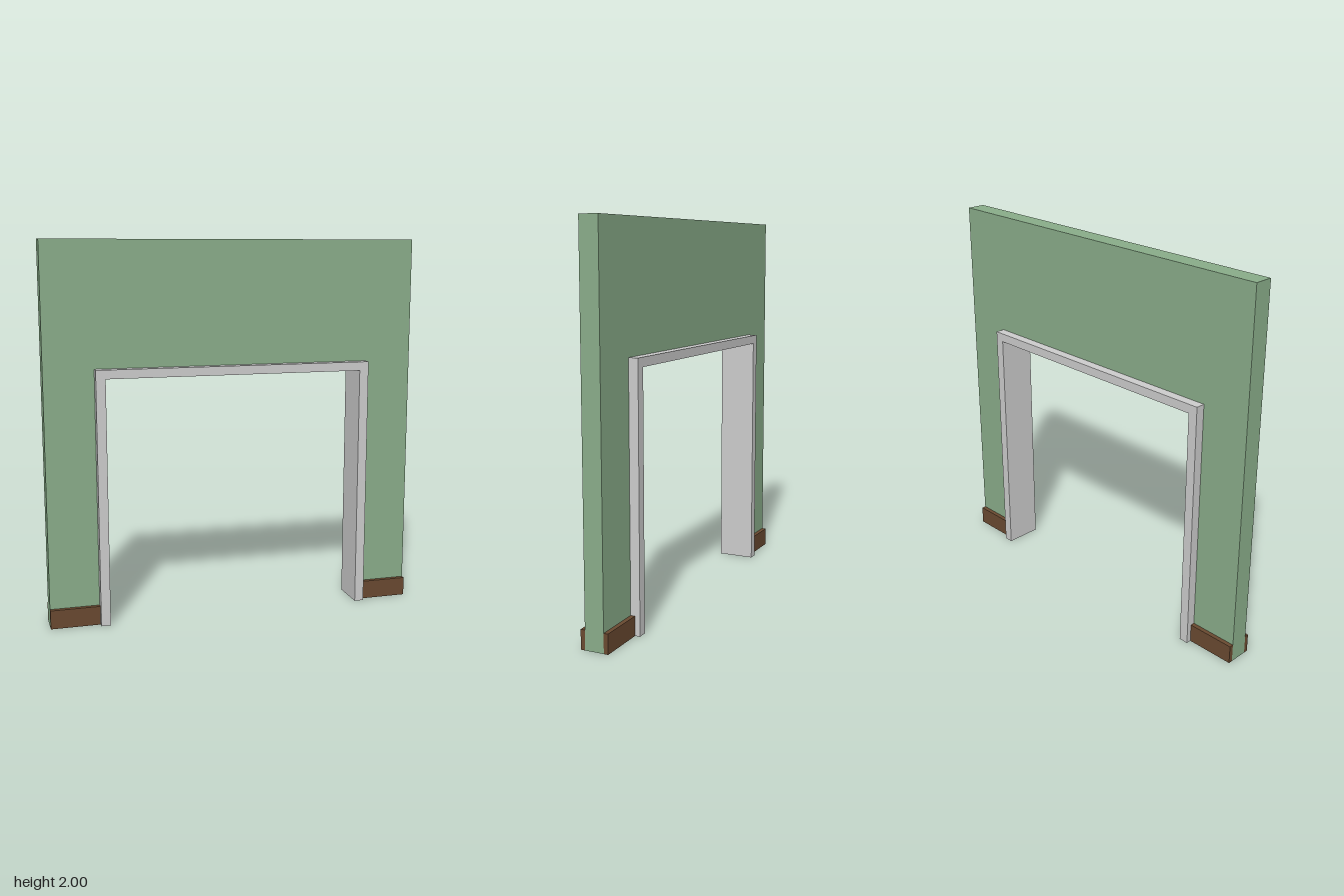
import * as THREE from 'three';

const wallMat = new THREE.MeshStandardMaterial({ color: 0x89ac89 });
const frameMat = new THREE.MeshStandardMaterial({ color: 0xcccccc });
const skirtingMat = new THREE.MeshStandardMaterial({ color: 0x694930 });

const OPEN_X = 0.74, OPEN_Y = 1.35; // opening in the wall
const TRIM = 0.05;                  // face width of the door frame

// Upside-down U, extruded to a depth centred on z = 0
function portal(name, outerX, outerY, innerX, innerY, depth, material) {
  const shape = new THREE.Shape([
    [-outerX, 0], [-innerX, 0], [-innerX, innerY], [innerX, innerY],
    [innerX, 0], [outerX, 0], [outerX, outerY], [-outerX, outerY],
  ].map(([x, y]) => new THREE.Vector2(x, y)));
  const geometry = new THREE.ExtrudeGeometry(shape, { depth, bevelEnabled: false });
  geometry.translate(0, 0, -depth / 2);
  const mesh = new THREE.Mesh(geometry, material);
  mesh.name = name;
  return mesh;
}

export function createModel() {
  const group = new THREE.Group();
  group.name = 'doorwayWall';

  // Wall with doorway, and the frame lining it
  group.add(portal('wall', 1, 2, OPEN_X, OPEN_Y, 0.1, wallMat));
  group.add(portal('doorFrame', OPEN_X, OPEN_Y, OPEN_X - TRIM, OPEN_Y - TRIM + 0.003, 0.2, frameMat));

  // Skirting boards on both faces, either side of the doorway
  const width = 1 - OPEN_X, height = 0.1, thickness = 0.023;
  const board = new THREE.BoxGeometry(width, height, thickness);
  for (const sx of [-1, 1]) {
    for (const sz of [-1, 1]) {
      const skirting = new THREE.Mesh(board, skirtingMat);
      skirting.name = `${sz > 0 ? 'front' : 'back'}${sx > 0 ? 'Left' : 'Right'}Skirting`;
      skirting.position.set(sx * (OPEN_X + width / 2), height / 2, sz * (0.05 + thickness / 2));
      group.add(skirting);
    }
  }
  return group;
}
